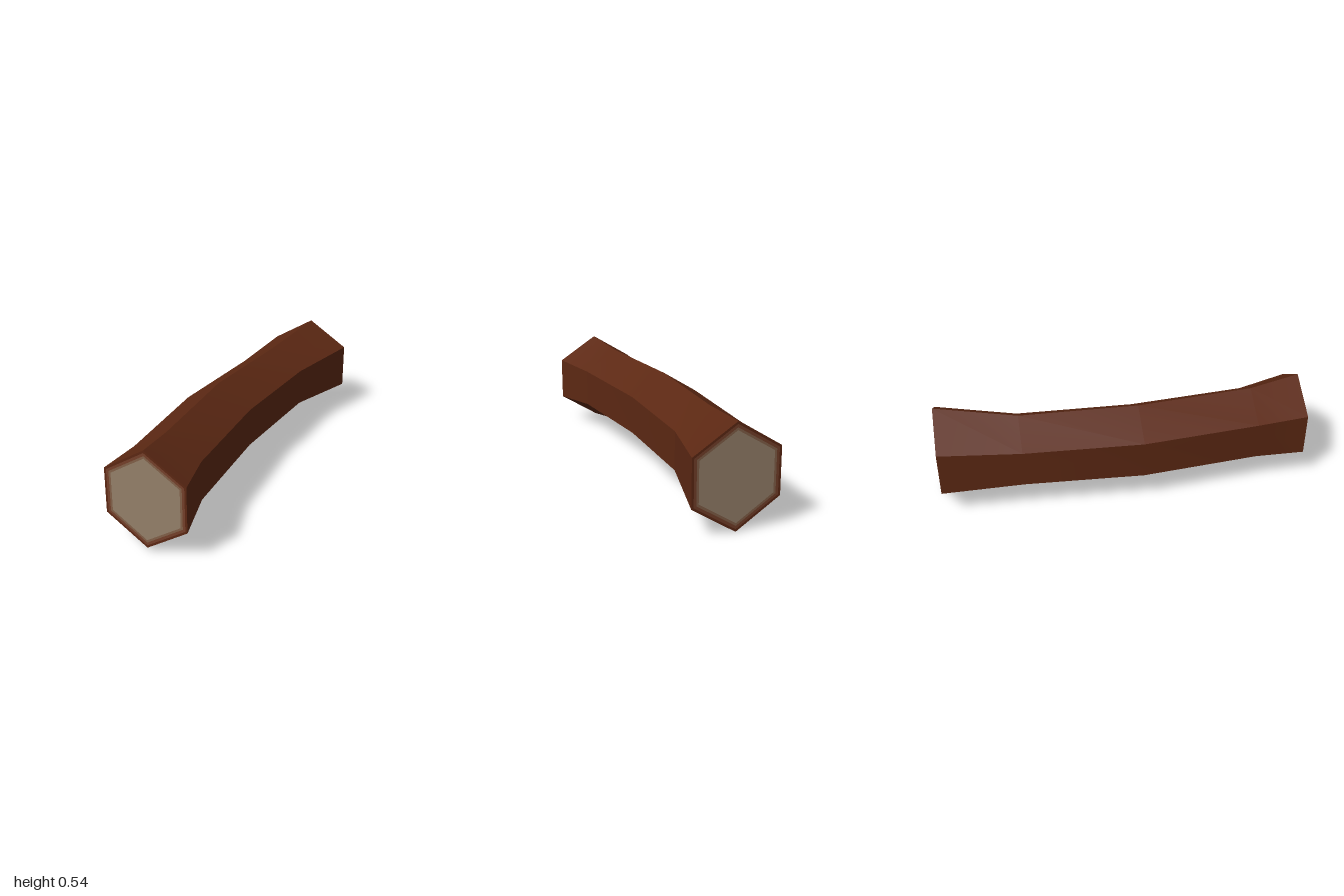
import * as THREE from 'three';
import { toCreasedNormals } from 'three/addons/utils/BufferGeometryUtils.js';

// Pointy-topped hexagon ring, counter-clockwise seen from +z
function hexRing({ z, left, mid, right, bottom, low, high, top }) {
  return [[right, low], [right, high], [mid, top], [left, high], [left, low], [mid, bottom]]
    .map(([x, y]) => new THREE.Vector3(x, y, z));
}

// Same ring shrunk towards its centre
function inset(ring, s) {
  const c = ring.reduce((sum, p) => sum.add(p), new THREE.Vector3()).divideScalar(ring.length);
  return ring.map((p) => p.clone().lerp(c, 1 - s));
}

// Skin joining consecutive rings; gentle bends smooth, hexagon edges sharp
function skin(rings, crease = 0.17) {
  const pts = [];
  for (let r = 0; r < rings.length - 1; r++) {
    const a = rings[r], b = rings[r + 1];
    for (let i = 0; i < a.length; i++) {
      const j = (i + 1) % a.length;
      pts.push(a[i], a[j], b[j], a[i], b[j], b[i]);
    }
  }
  const geo = new THREE.BufferGeometry().setFromPoints(pts);
  geo.computeVertexNormals();
  return toCreasedNormals(geo, crease);
}

// Flat fan filling a ring
function fan(ring, flip) {
  const pts = [];
  for (let i = 1; i < ring.length - 1; i++) {
    pts.push(ring[0], ring[flip ? i + 1 : i], ring[flip ? i : i + 1]);
  }
  const geo = new THREE.BufferGeometry().setFromPoints(pts);
  geo.computeVertexNormals();
  return geo;
}

export function createModel() {
  const model = new THREE.Group();
  model.name = 'log';
  const paint = (color) => new THREE.MeshStandardMaterial({ color });
  const bark = paint(0x5c2813), innerBark = paint(0x74402a), paleBark = paint(0x826048), wood = paint(0x95806a);
  const add = (parent, name, geo, mat) => {
    const mesh = new THREE.Mesh(geo, mat);
    mesh.name = name;
    parent.add(mesh);
  };

  // Bent trunk, flared at both ends
  const rings = [
    { z: -1, left: -0.2, mid: 0.03, right: 0.257, bottom: 0, low: 0.147, high: 0.395, top: 0.538 },
    { z: -0.56, left: -0.225, mid: -0.04, right: 0.145, bottom: 0.055, low: 0.168, high: 0.372, top: 0.486 },
    { z: 0.08, left: -0.26, mid: -0.07, right: 0.12, bottom: 0.046, low: 0.166, high: 0.374, top: 0.494 },
    { z: 0.72, left: -0.205, mid: -0.015, right: 0.17, bottom: 0.046, low: 0.166, high: 0.374, top: 0.494 },
    { z: 1, left: -0.195, mid: 0.025, right: 0.245, bottom: 0.012, low: 0.152, high: 0.39, top: 0.528 },
  ].map(hexRing);
  add(model, 'bark', skin(rings), bark);

  // Cut ends: bark rim fading in bands to pale wood
  for (const [name, outer, back] of [['frontEnd', rings[4], false], ['backEnd', rings[0], true]]) {
    const end = new THREE.Group();
    end.name = name;
    const steps = [1, 0.95, 0.89, 0.84].map((s) => inset(outer, s));
    [bark, innerBark, paleBark].forEach((mat, i) => {
      const pair = [steps[i], steps[i + 1]];
      add(end, `rimBand${i + 1}`, skin(back ? pair.reverse() : pair), mat);
    });
    add(end, 'cutWood', fan(steps[3], back), wood);
    model.add(end);
  }
  return model;
}
